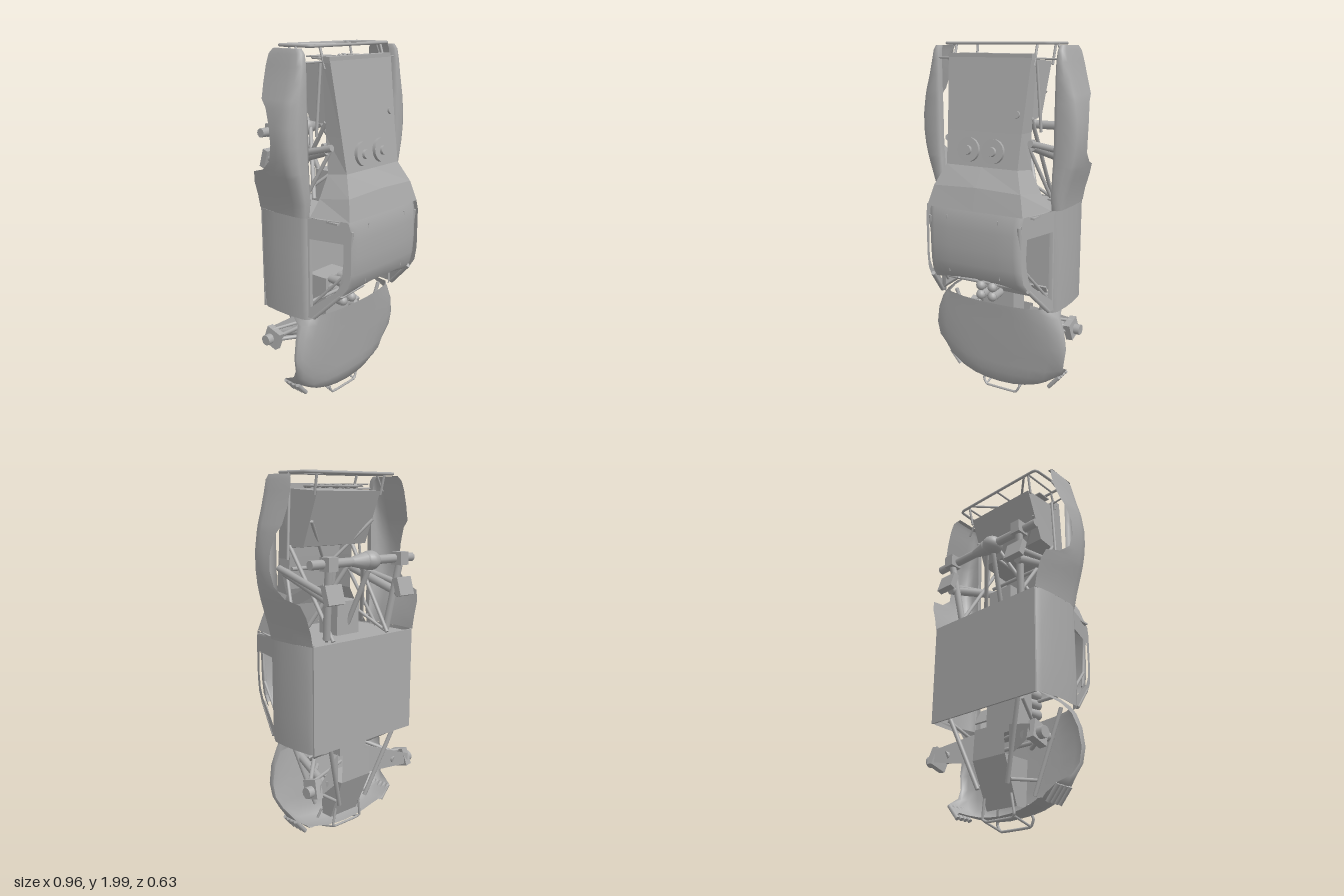
import * as THREE from 'three';

const bodyGrey = new THREE.MeshStandardMaterial({ color: 0xaaaaaa, side: THREE.DoubleSide });
bodyGrey.name = 'bodyGrey';

const V = (p) => new THREE.Vector3(...p);
const flip = (p) => [-p[0], p[1], p[2]];

export function createModel() {
  const root = new THREE.Group();

  const add = (name, geo, pos = [0, 0, 0], rot = [0, 0, 0]) => {
    const m = new THREE.Mesh(geo, bodyGrey);
    m.name = name;
    m.position.set(...pos);
    m.rotation.set(...rot);
    root.add(m);
    return m;
  };
  const box = (name, size, pos, rot) => add(name, new THREE.BoxGeometry(...size), pos, rot);

  // straight round bar between two points
  const bar = (name, a, b, r = 0.008, r2 = r) => {
    const d = V(b).sub(V(a));
    const m = add(name, new THREE.CylinderGeometry(r2, r, d.length(), 10));
    m.position.copy(V(a)).addScaledVector(d, 0.5);
    m.quaternion.setFromUnitVectors(new THREE.Vector3(0, 1, 0), d.normalize());
  };
  const bars = (name, a, b, r, r2) => {
    bar(name + 'Left', a, b, r, r2);
    bar(name + 'Right', flip(a), flip(b), r, r2);
  };
  const pipe = (name, pts, r, closed = false) => {
    const c = new THREE.CatmullRomCurve3(pts.map(V), closed, 'catmullrom', 0.15);
    add(name, new THREE.TubeGeometry(c, 90, r, 8, closed));
  };

  // skin over equal-length rows of points
  const loft = (name, rows, flat = false) => {
    const n = rows[0].length, idx = [];
    for (let i = 0; i < rows.length - 1; i++) for (let j = 0; j < n - 1; j++) {
      const a = i * n + j, b = a + n;
      idx.push(a, a + 1, b, b, a + 1, b + 1);
    }
    let g = new THREE.BufferGeometry();
    g.setAttribute('position', new THREE.Float32BufferAttribute(rows.flat(2), 3));
    g.setIndex(idx);
    if (flat) g = g.toNonIndexed();
    g.computeVertexNormals();
    add(name, g);
  };
  const mirrorRow = (half) => [...half.slice(1).reverse().map(flip), ...half];

  // hood, nose and front fenders: y, half width, crown z, lower edge z, bow
  const hood = [
    [.06, .26, -.12, -.14, .05], [.05, .29, -.03, -.13, .06], [.07, .31, .03, -.13, .06],
    [.14, .37, .05, -.12, .03], [.2, .39, .058, -.03, .02], [.27, .412, .065, .008, .01],
    [.36, .425, .076, .012, 0], [.46, .41, .086, .01, 0], [.53, .38, .094, 0, .01],
    [.56, .36, .098, -.06, .02], [.58, .352, .1, -.25, .02],
  ];
  loft('hoodAndFrontFenders', hood.map(([y, w, zc, ze, bow]) => {
    const d = Math.min(.04, .4 * (zc - ze)), low = zc - d;
    const half = [[0, zc], [.3, zc], [.55, zc - d * .08], [.8, zc - d * .35], [.93, low],
      [1, low * .6 + ze * .4], [.985, ze]];
    return mirrorRow(half.map(([k, z]) => [k * w, y + bow * k * k, z]));
  }));

  // doors and floor
  for (const s of [1, -1]) {
    const side = [[.335, .075], [.365, .068], [.382, .04], [.39, -.05], [.389, -.14], [.38, -.23], [.36, -.265]];
    loft(s > 0 ? 'doorLeft' : 'doorRight', [.585, .75, .95, 1.15].map((y, i) =>
      side.map(([x, z]) => [s * (x - (i ? 0 : .006)), y, z])));
  }
  box('floor', [.73, .57, .01], [0, .865, -.26]);
  box('rearBulkhead', [.66, .01, .5], [0, 1.14, -.01]);

  // roof: y, crown z, half width
  loft('roof', [[.75, .25, .295], [.79, .285, .292], [.86, .303, .287], [.95, .311, .284],
    [1.05, .311, .284], [1.11, .306, .287], [1.15, .294, .292]].map(([y, z, w], i) =>
    mirrorRow([[0, 0], [.5, .002], [.85, .008], [.95, .018], [1, .04], [1.02, .06]].map(([k, d]) =>
      [k * w, y + (i ? 0 : .02 - .035 * k * k), z - d]))));

  // leaning cab sides with window openings
  for (const s of [1, -1]) {
    const shape = new THREE.Shape([[.065, .6], [.1, .6], [.245, .745], [.285, .8], [.3, .88], [.3, 1.1],
      [.285, 1.15], [.065, 1.15]].map((p) => new THREE.Vector2(...p)));
    shape.holes.push(new THREE.Path([[.078, .66], [.225, .775], [.258, .83], [.27, .9], [.262, 1.035],
      [.078, 1.04]].map((p) => new THREE.Vector2(...p))));
    const g = new THREE.ShapeGeometry(shape);
    const p = g.attributes.position;
    for (let i = 0; i < p.count; i++) {
      const z = p.getX(i), y = p.getY(i);
      p.setXYZ(i, s * (.36 - (z - .07) * .3), y, z);
    }
    g.computeVertexNormals();
    add(s > 0 ? 'cabSideLeft' : 'cabSideRight', g);
  }
  bars('windshieldPillar', [.345, .6, .09], [.3, .75, .24], .012);
  bars('cageWindowBar', [.325, .66, .06], [.28, .86, .25], .008);
  bars('cageRearHoop', [.33, 1.1, -.25], [.27, 1.1, .28], .012);
  bars('cageRoofRail', [.27, .78, .25], [.27, 1.1, .29], .01);
  bar('cageDash', [-.33, .68, .06], [.33, .68, .06], .01);
  bar('cageWindshieldBrace', [-.33, .62, .09], [-.12, .76, .25], .006);
  box('dashboard', [.29, .1, .01], [.17, .68, .04], [.5, 0, 0]);
  bars('roofSeam', [.155, .8, .286], [.155, 1.12, .303], .003);

  // engine intake trumpets
  for (const x of [-.015, -.09]) for (const y of [.61, .665, .72]) {
    add('intakeTrumpet', new THREE.CylinderGeometry(.03, .022, .09, 14), [x, y, .03], [Math.PI / 2, 0, 0]);
    add('intakeCap', new THREE.SphereGeometry(.028, 14, 8), [x, y, .075]);
  }
  box('engineBlock', [.2, .26, .13], [-.03, .6, -.08]);

  // rear cowl tapering into the long deck
  loft('rearCowlAndDeck', [
    [[0, 1.15, .294], [.29, 1.15, .29], [.34, 1.15, .07]],
    [[0, 1.27, .265], [.262, 1.26, .262], [.29, 1.24, .09]],
    [[0, 1.37, .208], [.215, 1.37, .208], [.235, 1.36, .1]],
    [[0, 1.55, .18], [.222, 1.55, .18], [.226, 1.55, .08]],
    [[0, 1.92, .126], [.245, 1.92, .126], [.245, 1.92, .075]],
  ].map(mirrorRow), true);
  box('deckTailLip', [.49, .03, .045], [0, 1.925, .102]);
  for (const x of [-.077, .07]) {
    add('fillerDisc', new THREE.CylinderGeometry(.063, .063, .018, 32), [x, 1.455, .205], [1.42, 0, 0]);
    add('fillerCap', new THREE.CylinderGeometry(.022, .025, .014, 20), [x, 1.455, .22], [1.42, 0, 0]);
  }
  add('deckVent', new THREE.CylinderGeometry(.018, .018, .015, 16), [.187, 1.645, .17], [1.42, 0, 0]);

  // wedge shaped cooling box under the deck
  const wedge = new THREE.Shape([[.12, 1.915], [-.14, 1.9], [-.03, 1.62], [.165, 1.6]]
    .map(([z, y]) => new THREE.Vector2(-z, y)));
  add('coolingBox', new THREE.ExtrudeGeometry(wedge, { depth: .45, bevelEnabled: false }),
    [-.225, 0, 0], [0, Math.PI / 2, 0]);

  // cooling fans
  for (const x of [-.1, .1]) {
    add('fanRing', new THREE.TorusGeometry(.08, .005, 6, 36), [x, 1.925, -.017], [Math.PI / 2, 0, 0]);
    add('fanHub', new THREE.CylinderGeometry(.033, .033, .02, 24), [x, 1.925, -.017]);
    for (let k = 0; k < 9; k++) {
      const a = k * Math.PI * 2 / 9;
      box('fanBlade', [.05, .004, .026], [x + .055 * Math.cos(a), 1.925, -.017 - .055 * Math.sin(a)], [.35, a, 0]);
    }
  }
  box('fanCoverPlate', [.13, .006, .085], [-.168, 1.937, 0]);

  // rear fenders: y, inner x, outer x, top z, lower edge z
  const fender = [
    [1.15, .335, .39, .07, -.265], [1.22, .335, .403, .08, -.265], [1.3, .338, .428, .082, -.262],
    [1.36, .34, .448, .082, -.24], [1.385, .342, .455, .082, -.15], [1.44, .344, .468, .082, -.085],
    [1.52, .345, .478, .082, -.065], [1.61, .345, .478, .082, -.072], [1.7, .346, .464, .082, -.105],
    [1.74, .347, .455, .082, -.14], [1.82, .348, .43, .081, -.15], [1.9, .35, .41, .079, -.15],
    [1.955, .354, .398, .072, -.14], [1.98, .36, .388, .055, -.12],
  ];
  for (const s of [1, -1]) {
    loft(s > 0 ? 'rearFenderLeft' : 'rearFenderRight', fender.map(([y, xi, xo, zt, ze]) => {
      const w = xo - xi, taper = ze < -.2 ? .02 : .004;
      return [[xi, zt - .04], [xi + w * .03, zt - .01], [xi + w * .2, zt], [xi + w * .65, zt - .004],
        [xi + w * .92, zt - .025], [xo, zt - .07], [xo, (zt - .07 + ze) / 2], [xo - taper, ze]]
        .map(([x, z]) => [s * x, y, z]);
    }));
    loft('fenderTailCap', [[[.36, 1.98, .055], [.388, 1.98, .055]], [[.36, 1.98, -.12], [.388, 1.98, -.12]]]
      .map((r) => r.map(([x, y, z]) => [s * x, y, z])));
  }
  bars('fenderStay', [.24, 1.915, .07], [.36, 1.915, .06], .005);
  bars('fenderLowerStay', [.3, 1.2, .03], [.345, 1.2, .03], .006);

  // rear bumper frame
  pipe('rearBumperHoop', [[-.28, 1.99, -.165], [.28, 1.99, -.165], [.305, 1.99, -.14], [.312, 1.99, .03],
    [.285, 1.99, .06], [-.285, 1.99, .06], [-.312, 1.99, .03], [-.305, 1.99, -.14]], .008, true);
  bar('bumperCentreBar', [0, 1.99, -.165], [0, 1.99, .06], .006);
  bars('bumperDiagonal', [.21, 1.99, -.16], [0, 1.99, .05], .007);
  bars('bumperUpright', [.245, 1.99, -.165], [.245, 1.99, .06], .006);
  bars('bumperLegUpper', [.24, 1.99, .055], [.24, 1.88, .09], .007);
  bars('bumperLegLower', [.24, 1.99, -.155], [.235, 1.88, -.13], .007);
  bars('bumperSideLoop', [.31, 1.99, -.03], [.36, 1.9, -.03], .006);

  // rear axle and suspension
  bar('rearAxle', [-.37, 1.55, -.245], [.37, 1.55, -.245], .024);
  const diff = add('differential', new THREE.SphereGeometry(.057, 20, 14), [-.045, 1.55, -.242]);
  diff.scale.set(1, .9, 1.05);
  bars('axleTaper', [.09, 1.55, -.245], [0, 1.55, -.245], .024, .045);
  bar('driveShaft', [-.045, 1.5, -.235], [0, 1.16, -.1], .014);
  bars('trailingArm', [.26, 1.54, -.26], [.22, 1.16, -.2], .02);
  bars('upperLink', [.04, 1.56, -.2], [.2, 1.2, -.03], .012);
  bars('rearShock', [.255, 1.36, -.27], [.24, 1.48, .1], .024);
  bars('rearBypassShock', [.285, 1.4, -.27], [.25, 1.5, .14], .018);
  bars('shockMountBar', [.24, 1.92, .06], [.265, 1.55, .05], .008);
  bars('rearFrameRail', [.2, 1.15, -.23], [.225, 1.62, .08], .011);
  bars('rearFrameBrace', [.3, 1.15, -.05], [.22, 1.5, .12], .01);
  bars('rearCrossBrace', [.22, 1.15, -.2], [0, 1.4, .06], .009);
  bars('rearUpperBrace', [.22, 1.75, -.09], [0, 1.5, .05], .009);
  bar('rearCrossBar', [-.23, 1.5, .06], [.23, 1.5, .06], .011);
  for (const s of [1, -1]) {
    box('rearShockMount', [.11, .1, .035], [s * .258, 1.4, -.29], [.3, 0, 0]);
    box('rearAxleBracket', [.06, .07, .07], [s * .258, 1.55, -.26]);
  }
  box('gearbox', [.16, .18, .14], [0, 1.24, -.06]);

  // front suspension and frame
  for (const s of [1, -1]) {
    box('frontHub', [.04, .1, .1], [s * .34, .385, -.225], [.3, 0, s * .1]);
    add('frontSpindle', new THREE.CylinderGeometry(.03, .03, .05, 16), [s * .37, .38, -.235], [0, 0, Math.PI / 2]);
    loft('lowerArmPlate', [[[.1, .33, -.16], [.34, .36, -.28]], [[.1, .5, -.16], [.34, .42, -.28]]]
      .map((r) => r.map(([x, y, z]) => [s * x, y, z])));
  }
  bars('upperArmFront', [.13, .4, -.02], [.33, .38, -.19], .012);
  bars('upperArmRear', [.15, .5, -.03], [.33, .4, -.19], .012);
  bars('steeringLink', [.06, .44, -.14], [.34, .43, -.23], .009);
  bars('frontShock', [.2, .46, .05], [.27, .39, -.24], .023);
  bars('frontFrameLower', [.24, .59, -.25], [.1, .2, -.17], .012);
  bars('frontFrameUpper', [.28, .6, .04], [.13, .16, .0], .011);
  bars('frontFrameDiagonal', [.26, .58, -.24], [.17, .42, .02], .009);
  bars('frontFrameUpright', [.11, .22, -.16], [.14, .24, .01], .009);
  bar('frontCrossBar', [-.17, .44, .01], [.17, .44, .01], .011);

  // sloping skid plate with box sides
  loft('skidPlate', [
    [[.1, .1, -.03], [.1, .1, -.1]], [[.11, .34, -.03], [.11, .34, -.2]],
    [[-.11, .34, -.03], [-.11, .34, -.2]], [[-.1, .1, -.03], [-.1, .1, -.1]],
  ], true);
  loft('skidPlateFace', [[[-.1, .1, -.1], [.1, .1, -.1]], [[-.11, .34, -.2], [.11, .34, -.2]],
    [[-.1, .5, -.2], [.1, .5, -.2]]], true);

  // front bumper hoops and ribbed bumper corners
  pipe('frontBumperHoop', [[-.1, .12, -.02], [-.12, .05, 0], [-.095, .014, .004], [.095, .014, .004],
    [.12, .05, 0], [.1, .12, -.02]], .007);
  pipe('frontLowerHoop', [[-.09, .16, -.13], [-.105, .06, -.125], [-.08, .045, -.115], [.08, .045, -.115],
    [.105, .06, -.125], [.09, .16, -.13]], .007);
  bars('bumperHoopLink', [.1, .016, .003], [.1, .05, -.12], .006);
  for (const s of [1, -1]) for (const z of [-.02, -.05, -.08, -.11]) {
    bar('bumperRib', [s * .3, .09, z], [s * .365, .165, z], .012);
  }
  return root;
}
